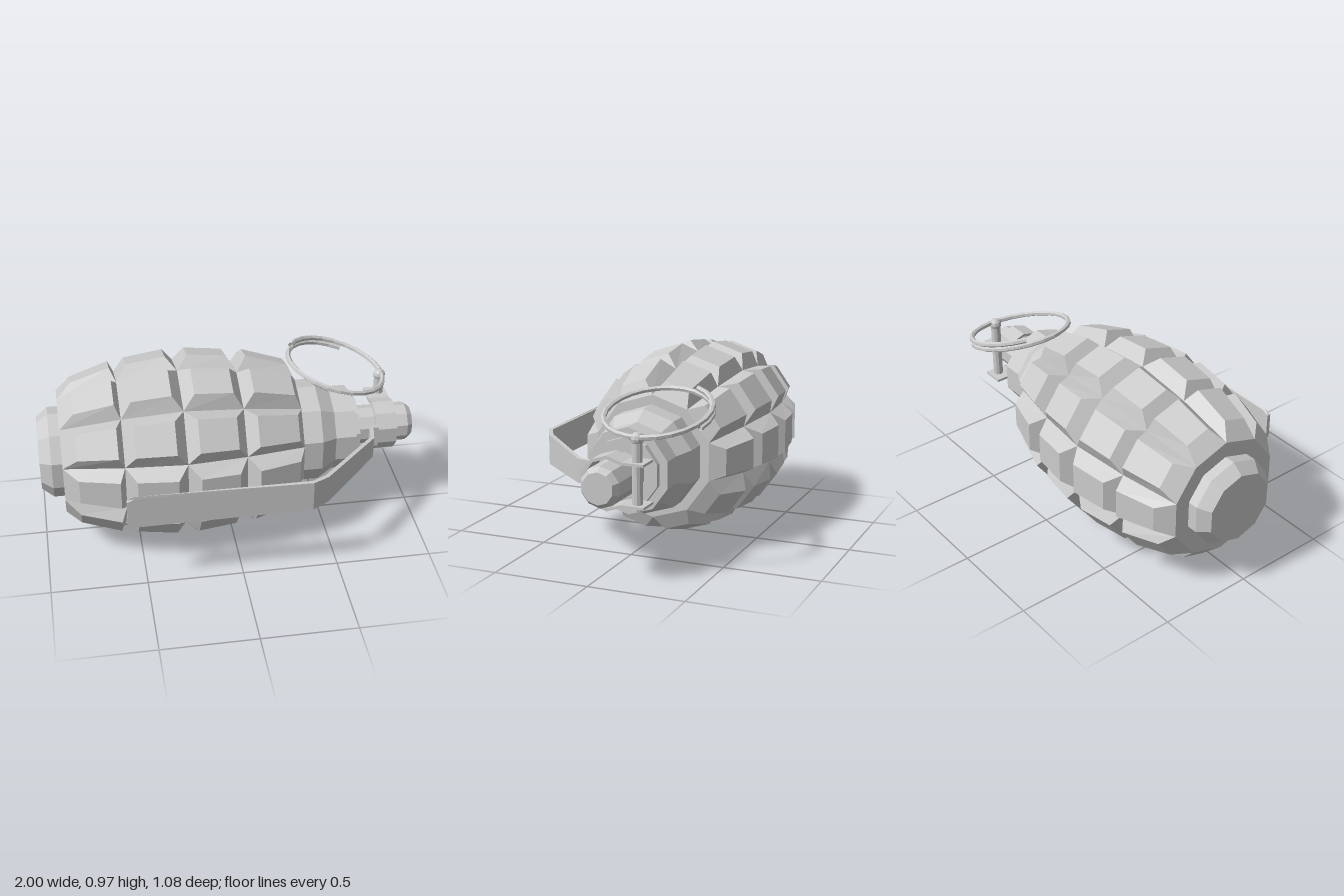
import * as THREE from 'three';

const AXIS_Y = 0.486, AXIS_Z = -0.06, STEP = Math.PI / 5;
const material = new THREE.MeshStandardMaterial({ color: 0xcccccc, flatShading: true, side: THREE.DoubleSide });

export function createModel() {
  const group = new THREE.Group();
  const add = (name, geometry, x = 0, y = 0, z = 0) => {
    const mesh = new THREE.Mesh(geometry, material);
    mesh.name = name;
    mesh.position.set(x, y, z);
    group.add(mesh);
    return mesh;
  };

  // Ten-sided turned parts along the x axis; profile is [x, radius]
  const turned = (name, profile) => {
    const pts = profile.map(([x, r]) => new THREE.Vector2(r, x));
    const g = new THREE.LatheGeometry(pts, 10, Math.PI / 2).rotateZ(-Math.PI / 2);
    add(name, g, 0, AXIS_Y, AXIS_Z);
  };

  add('segmentedBody', bodyGeometry(), 0, AXIS_Y, AXIS_Z);
  turned('basePlug', [[-1, 0], [-1, 0.19], [-0.94, 0.237], [-0.885, 0.237], [-0.885, 0.32]]);
  turned('neck', [[0.36, 0.32], [0.36, 0.27], [0.47, 0.27], [0.55, 0.22], [0.66, 0.22],
    [0.66, 0.176], [0.69, 0.176], [0.69, 0]]);
  turned('fuseStem', [[0.68, 0.103], [0.97, 0.103], [1, 0.08], [1, 0]]);

  // Safety lever: bent strip, narrowing toward the fuse
  const outer = [[-0.59, 0.535], [-0.55, 0.535], [0.35, 0.535], [0.435, 0.488], [0.75, 0.165], [0.77, 0.07], [0.8, 0.07]];
  const inner = [[-0.59, 0.515], [-0.55, 0.515], [0.345, 0.515], [0.42, 0.472], [0.732, 0.155], [0.752, 0.05], [0.8, 0.05]];
  const lever = extrude([...outer, ...inner.reverse()], 1).rotateX(Math.PI / 2);
  const p = lever.attributes.position;
  for (let i = 0; i < p.count; i++) {
    const x = p.getX(i);
    let half = 0.088;
    if (x < -0.57) half = 0.07;
    else if (x > 0.3) half = THREE.MathUtils.mapLinear(x, 0.3, 0.8, 0.086, 0.058);
    p.setY(i, p.getY(i) * 2 * half);
  }
  lever.computeVertexNormals();
  add('safetyLever', lever, 0, AXIS_Y, 0);

  // Collar wrapped round the stem, with two ears reaching back to the pin
  const wrap = (r) => {
    const pts = [[0.19, r * Math.cos(STEP)]];
    for (let k = 1; k >= -6; k--) pts.push([r * Math.sin(k * STEP), r * Math.cos(k * STEP)]);
    pts.push([0.19, -r * Math.cos(STEP)]);
    return pts;
  };
  const collar = extrude([...wrap(0.136), ...wrap(0.12).reverse()], 0.115).rotateY(Math.PI / 2);
  add('leverCollar', collar, 0.845, AXIS_Y, AXIS_Z);

  // Pin and its head
  add('safetyPin', new THREE.CylinderGeometry(0.026, 0.026, 0.36, 10), 0.858, 0.54, -0.2);
  add('pinHead', new THREE.SphereGeometry(0.033, 10, 6), 0.858, 0.707, -0.2);

  // Split pull ring: a shallow coil of a little more than one turn, tilted
  const coil = new THREE.Curve();
  coil.getPoint = (t, target = new THREE.Vector3()) => {
    const a = THREE.MathUtils.degToRad(-70 - 444 * t);
    return target.set(0.265 * Math.cos(a), (t - 0.5) * 0.034, 0.265 * Math.sin(a));
  };
  const ring = add('pullRing', new THREE.TubeGeometry(coil, 30, 0.014, 6), 0.612, 0.783, -0.2);
  ring.rotation.z = -0.28;

  return group;
}

// Closed 2D outline extruded and centred on its depth
function extrude(outline, depth) {
  const shape = new THREE.Shape(outline.map(([x, y]) => new THREE.Vector2(x, y)));
  return new THREE.ExtrudeGeometry(shape, { depth, bevelEnabled: false }).translate(0, 0, -depth / 2);
}

// Four rows of ten raised blocks between grooves
function bodyGeometry() {
  const grooves = [[-0.885, 0.32], [-0.575, 0.395], [-0.26, 0.436], [0.05, 0.395], [0.36, 0.32]];
  const tops = [
    [[-0.81, 0.387], [-0.605, 0.452]],
    [[-0.52, 0.464], [-0.315, 0.491]],
    [[-0.2, 0.491], [0, 0.469]],
    [[0.107, 0.458], [0.325, 0.39]],
  ];
  const positions = [];
  const at = ([x, r], t) => [x, r * Math.cos(t), r * Math.sin(t)];
  const quad = (a, b, c, d) => positions.push(...a, ...b, ...c, ...a, ...c, ...d);
  const corners = (e0, e1, t0, t1) => [at(e0, t0), at(e0, t1), at(e1, t1), at(e1, t0)];
  const inset = THREE.MathUtils.degToRad(8);
  tops.forEach(([a, b], row) => {
    for (let k = 0; k < 10; k++) {
      const t0 = k * STEP, t1 = t0 + STEP;
      const low = corners(grooves[row], grooves[row + 1], t0, t1);
      const high = corners(a, b, t0 + inset, t1 - inset);
      quad(...high);
      for (let i = 0; i < 4; i++) {
        const j = (i + 1) % 4;
        quad(low[i], low[j], high[j], high[i]);
      }
    }
  });
  const g = new THREE.BufferGeometry();
  g.setAttribute('position', new THREE.Float32BufferAttribute(positions, 3));
  g.computeVertexNormals();
  return g;
}
